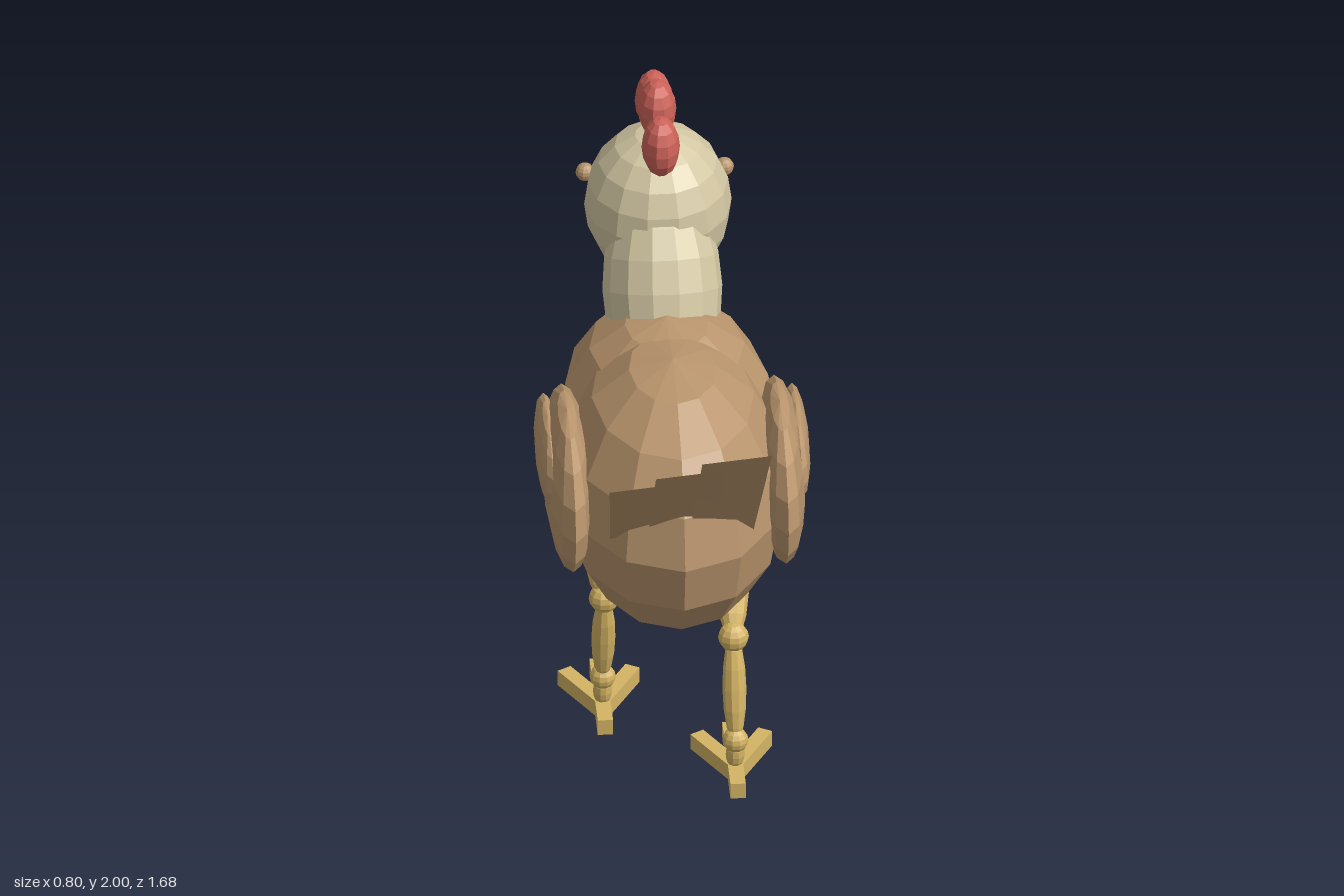
import * as THREE from 'three';

const mat = (name, color, side = THREE.FrontSide) => {
  const m = new THREE.MeshStandardMaterial({ color, flatShading: true, side });
  m.name = name;
  return m;
};

export function createModel() {
  const bird = new THREE.Group();
  bird.name = 'bird';
  const brown = mat('brown feathers', 0xb8946c, THREE.DoubleSide);
  const cream = mat('cream feathers', 0xd2c6a2);
  const red = mat('red comb', 0xcc6258);
  const yellow = mat('yellow horn', 0xd4b464, THREE.DoubleSide);

  const add = (name, geo, material, parent = bird) => {
    const mesh = new THREE.Mesh(geo, material);
    mesh.name = name;
    parent.add(mesh);
    return mesh;
  };
  const ellipsoid = (name, material, pos, radii, w = 12, h = 8, parent = bird) => {
    const mesh = add(name, new THREE.SphereGeometry(1, w, h), material, parent);
    mesh.position.set(...pos);
    mesh.scale.set(...radii);
    return mesh;
  };
  // Swollen limb running between two joints
  const limb = (name, a, b, radius, parent) => {
    const p = new THREE.Vector3(...a), q = new THREE.Vector3(...b);
    const d = q.clone().sub(p);
    const mid = p.clone().add(q).multiplyScalar(0.5);
    const mesh = ellipsoid(name, yellow, mid.toArray(), [radius, d.length() * 0.53, radius], 10, 8, parent);
    mesh.quaternion.setFromUnitVectors(new THREE.Vector3(0, 1, 0), d.normalize());
  };
  const surface = (points, index) => {
    const geo = new THREE.BufferGeometry();
    geo.setAttribute('position', new THREE.Float32BufferAttribute(points.flat(), 3));
    geo.setIndex(index);
    const flat = geo.toNonIndexed();
    flat.computeVertexNormals();
    return flat;
  };

  // Body, chest, neck and head
  ellipsoid('body', brown, [0, 1.025, 0.145], [0.335, 0.415, 0.5]);
  ellipsoid('chest', brown, [0, 1.08, -0.095], [0.32, 0.355, 0.395]);
  ellipsoid('neck', cream, [0, 1.42, -0.27], [0.175, 0.32, 0.175], 14, 10).rotation.x = -0.436;
  ellipsoid('head', cream, [0, 1.602, -0.447], [0.215, 0.243, 0.23], 14, 10);

  // Comb lobes
  for (const [y, z] of [[1.868, -0.332], [1.905, -0.475], [1.85, -0.606]]) {
    ellipsoid('combLobe', red, [0, y, z], [0.056, 0.095, 0.074], 10, 8);
  }

  // Beak: three-sided, flat underneath
  add('beak', surface(
    [[0, 1.6, -0.63], [0.07, 1.505, -0.63], [-0.07, 1.505, -0.63], [0, 1.505, -0.84]],
    [0, 1, 3, 1, 2, 3, 2, 0, 3]), yellow);

  for (const s of [1, -1]) {
    ellipsoid('eye', brown, [s * 0.203, 1.632, -0.572], [0.028, 0.028, 0.028], 10, 8);
    ellipsoid('wattle', red, [s * 0.06, 1.35, -0.622], [0.053, 0.109, 0.073], 10, 8);
    ellipsoid('wing', brown, [s * 0.31, 1.065, 0.18], [0.07, 0.236, 0.35]);
    ellipsoid('wingFold', brown, [s * 0.362, 1.12, 0.115], [0.037, 0.12, 0.25]);
  }

  // Tail feathers, each a flat plate, stepping down towards -x
  for (const [x, w, tip, bx0, bx1] of [
    [0.035, 0.205, 1.525, 0.02, 0.21],
    [-0.1, 0.2, 1.48, -0.1, 0.1],
    [-0.235, 0.2, 1.44, -0.21, -0.02],
  ]) {
    add('tailFeather', surface(
      [[bx0, 1.07, 0.52], [bx1, 1.07, 0.5], [x + w, tip, 0.81], [x, tip, 0.84]],
      [0, 1, 2, 0, 2, 3]), brown);
  }

  // Legs in mid-stride: s is the side, then hip, knee and ankle as [y, z]
  const leg = (s, hip, knee, ankle) => {
    const g = new THREE.Group();
    g.name = s > 0 ? 'leftLeg' : 'rightLeg';
    bird.add(g);
    const at = ([y, z], x = 0.18) => [s * x, y, z];
    const joint = (name, p, r, x) => ellipsoid(name, yellow, at(p, x), [r, r, r], 10, 8, g);
    joint('hip', hip, 0.056, 0.195);
    joint('knee', knee, 0.045);
    joint('ankle', ankle, 0.038);
    limb('thigh', at(hip, 0.19), at(knee), 0.055, g);
    limb('shin', at(knee), at(ankle), 0.035, g);
    limb('heelBone', at(ankle), at([0.03, ankle[1] - 0.01]), 0.028, g);

    // Foot: one long middle toe with a spur, and two splayed toes
    const foot = new THREE.Group();
    foot.name = 'foot';
    foot.position.set(s * 0.18, 0.025, ankle[1]);
    g.add(foot);
    const middle = add('middleToe', new THREE.BoxGeometry(0.045, 0.05, 0.33), yellow, foot);
    middle.position.z = -0.055;
    for (const t of [1, -1]) {
      const toe = add('sideToe', new THREE.BoxGeometry(0.045, 0.05, 0.2), yellow, foot);
      toe.position.set(t * 0.05, 0, -0.087);
      toe.rotation.y = -t * 0.52;
    }
    return g;
  };
  const strideLeg = leg(1, [0.75, -0.255], [0.44, 0.103], [0.132, 0.18]);
  leg(-1, [0.75, -0.285], [0.44, -0.13], [0.132, -0.185]);
  // Upper thigh showing outside the body
  limb('upperThigh', [0.215, 0.9, -0.09], [0.195, 0.75, -0.24], 0.062, strideLeg);

  return bird;
}
